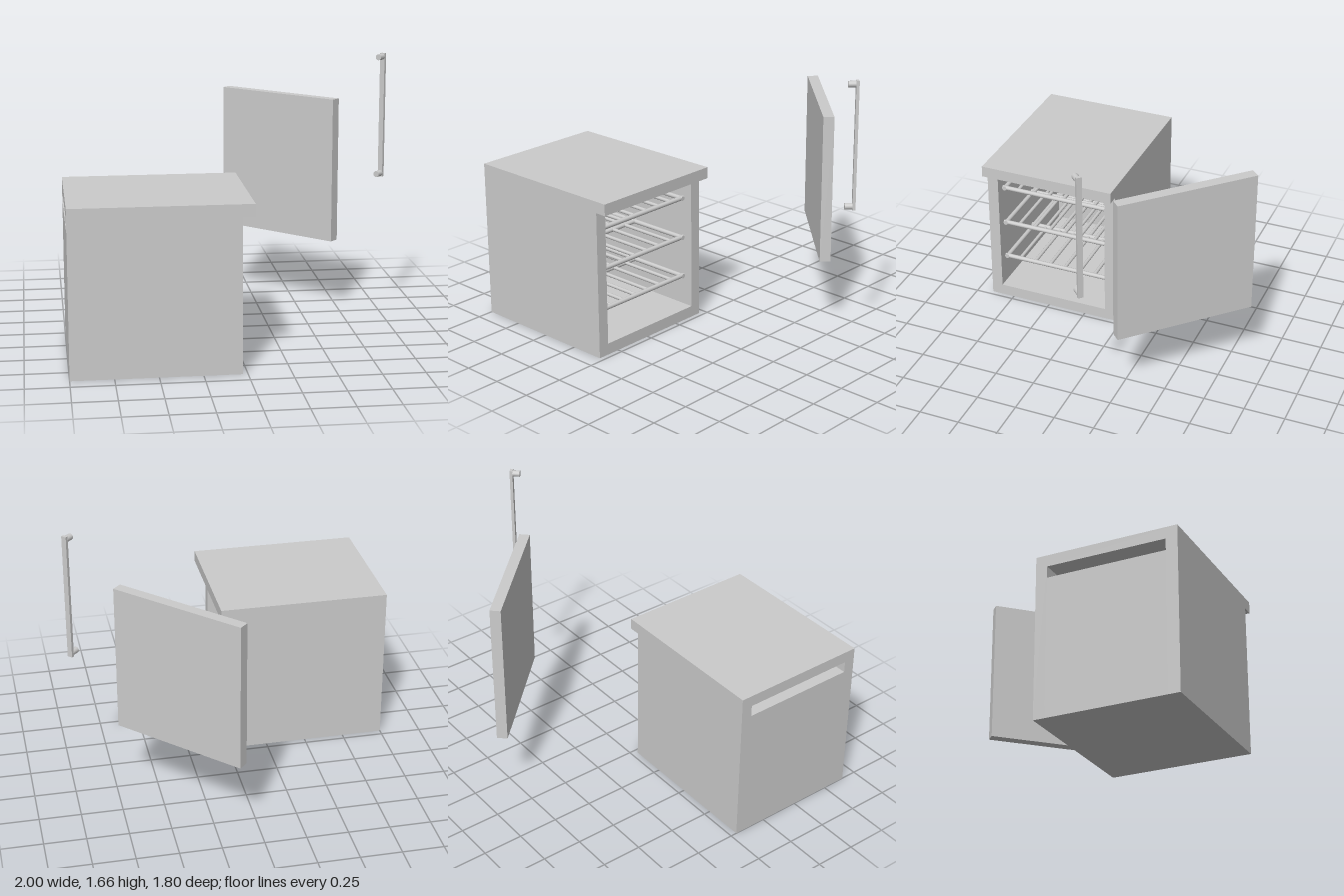
import * as THREE from 'three';

const material = new THREE.MeshStandardMaterial({ color: 0xcccccc });

function add(parent, geometry, name, x, y, z) {
  const mesh = new THREE.Mesh(geometry, material);
  mesh.name = name;
  mesh.position.set(x, y, z);
  parent.add(mesh);
  return mesh;
}

// Box given by its min and max on each axis
function span(parent, name, [x0, x1], [y0, y1], [z0, z1]) {
  return add(parent, new THREE.BoxGeometry(x1 - x0, y1 - y0, z1 - z0), name,
    (x0 + x1) / 2, (y0 + y1) / 2, (z0 + z1) / 2);
}

// Round rod along x or z
function rod(parent, name, axis, length, radius, x, y, z) {
  const geometry = new THREE.CylinderGeometry(radius, radius, length, 12);
  if (axis === 'x') geometry.rotateZ(Math.PI / 2);
  else geometry.rotateX(Math.PI / 2);
  return add(parent, geometry, name, x, y, z);
}

// Cabinet opening towards +x, with a slot above the back panel
function createCabinet() {
  const cabinet = new THREE.Group();
  cabinet.name = 'cabinet';
  span(cabinet, 'worktop', [-1, 0.04], [0.91, 0.98], [0.04, 0.9]);
  span(cabinet, 'sideWallFront', [-1, -0.03], [0, 0.91], [0.83, 0.9]);
  span(cabinet, 'sideWallBack', [-1, -0.03], [0, 0.91], [0.04, 0.11]);
  span(cabinet, 'floor', [-1, -0.03], [0, 0.07], [0.11, 0.83]);
  span(cabinet, 'backPanel', [-1, -0.93], [0.07, 0.84], [0.11, 0.83]);
  return cabinet;
}

// Wire rack: round frame with lengthwise bars
function createRack(y) {
  const rack = new THREE.Group();
  rack.name = 'rack';
  rack.position.set(0, y, 0.47);
  const x0 = -0.92, x1 = -0.085, r = 0.014, half = 0.36;
  const length = x1 - x0, mid = (x0 + x1) / 2;
  for (const x of [x0 + r, mid, x1 - r]) rod(rack, 'crossBar', 'z', half * 2, r, x, 0, 0);
  for (const s of [-1, 1]) rod(rack, 'sideRail', 'x', length, r, mid, 0, s * (half - r));
  const bars = 6;
  for (let i = 1; i <= bars; i++) {
    rod(rack, 'bar', 'x', length - 2 * r, 0.011, mid, 0, -half + (2 * half * i) / (bars + 1));
  }
  return rack;
}

// Detached door and pull handle share the same 45 degree turn
function createDoor() {
  const door = new THREE.Group();
  door.name = 'door';
  door.position.set(0.405, 0, -0.572);
  door.rotation.y = -Math.PI / 4;
  span(door, 'doorPanel', [-0.43, 0.43], [0.46, 1.365], [-0.0325, 0.0325]);
  return door;
}

function createHandle() {
  const handle = new THREE.Group();
  handle.name = 'handle';
  handle.position.set(0.98, 0, -0.17);
  handle.rotation.y = -Math.PI / 4;
  span(handle, 'grip', [-0.016, 0.016], [0.89, 1.66], [-0.009, 0.009]);
  for (const y of [0.911, 1.639]) rod(handle, 'post', 'z', 0.045, 0.019, 0, y, 0.031);
  return handle;
}

export function createModel() {
  const model = new THREE.Group();
  model.name = 'cabinetWithDoor';
  model.add(createCabinet(), createDoor(), createHandle());
  for (const y of [0.26, 0.515, 0.77]) model.add(createRack(y));
  return model;
}
